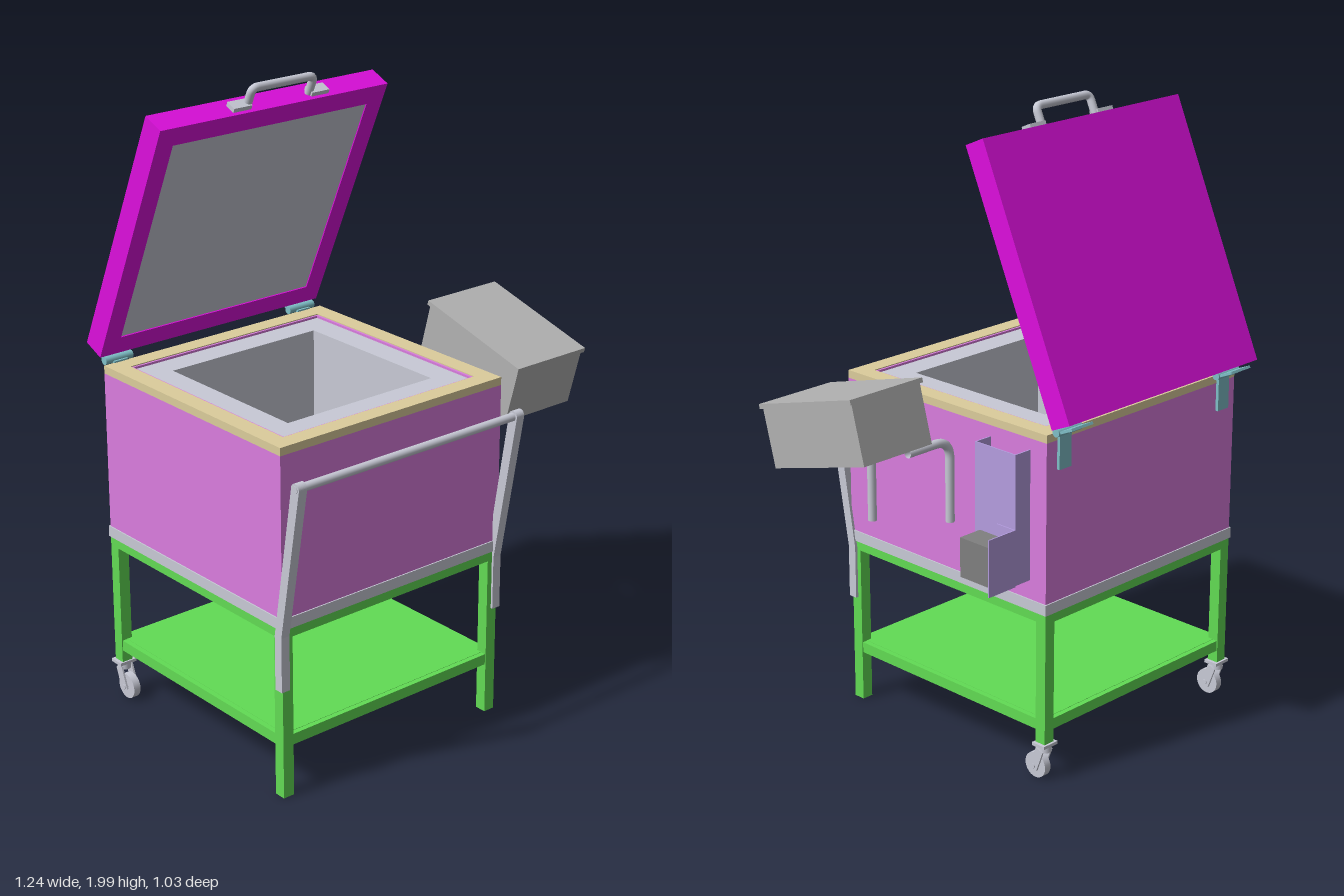
import * as THREE from 'three';

const mat = (color) => new THREE.MeshStandardMaterial({ color, side: THREE.DoubleSide });
const M = {
  pink: mat(0xda7ddf), magenta: mat(0xdd0fdd), green: mat(0x62dc54), tan: mat(0xdccd9c),
  steel: mat(0xc8cad6), violet: mat(0xb59de0), teal: mat(0x7fc0c8), grey: mat(0xb2b2b2), dark: mat(0x808080),
};
const CX = -0.189; // centre of the cabinet
const H = 0.423;   // half width of the cabinet

function add(parent, name, geo, material, x = 0, y = 0, z = 0) {
  const m = new THREE.Mesh(geo, material);
  m.name = name;
  m.position.set(x, y, z);
  parent.add(m);
  return m;
}

// box given by its limits
function block(parent, name, material, x0, x1, y0, y1, z0, z1) {
  return add(parent, name, new THREE.BoxGeometry(x1 - x0, y1 - y0, z1 - z0), material,
    (x0 + x1) / 2, (y0 + y1) / 2, (z0 + z1) / 2);
}

// flat rectangular ring in the xy plane, extruded along +z
function ring(ox, oy, ix, iy, depth) {
  const rect = (P, a, b) => {
    const p = new P();
    p.moveTo(-a, -b); p.lineTo(a, -b); p.lineTo(a, b); p.lineTo(-a, b); p.closePath();
    return p;
  };
  const s = rect(THREE.Shape, ox, oy);
  s.holes.push(rect(THREE.Path, ix, iy));
  return new THREE.ExtrudeGeometry(s, { depth, bevelEnabled: false });
}

// horizontal ring between two heights
function band(parent, name, material, outer, inner, y0, y1) {
  return add(parent, name, ring(outer, outer, inner, inner, y1 - y0).rotateX(-Math.PI / 2), material, CX, y0, 0);
}

// round tube with rounded corners through points
function pipe(points, radius, bend) {
  const v = points.map((p) => new THREE.Vector3(...p));
  const path = new THREE.CurvePath();
  let from = v[0];
  for (let i = 1; i < v.length - 1; i++) {
    const a = v[i].clone().add(v[i - 1].clone().sub(v[i]).setLength(bend));
    const b = v[i].clone().add(v[i + 1].clone().sub(v[i]).setLength(bend));
    path.add(new THREE.LineCurve3(from, a));
    path.add(new THREE.QuadraticBezierCurve3(a, v[i], b));
    from = b;
  }
  path.add(new THREE.LineCurve3(from, v[v.length - 1]));
  return new THREE.TubeGeometry(path, 60, radius, 14);
}

function caster(parent, x) {
  const g = new THREE.Group();
  g.name = 'caster';
  g.position.set(x, 0, -0.405);
  parent.add(g);
  block(g, 'casterPlate', M.steel, -0.03, 0.03, 0.115, 0.125, -0.025, 0.025);
  add(g, 'casterSwivel', new THREE.CylinderGeometry(0.02, 0.022, 0.02, 20), M.steel, 0, 0.105, 0);
  const wheel = new THREE.CylinderGeometry(0.041, 0.041, 0.024, 28).rotateZ(Math.PI / 2);
  add(g, 'casterWheel', wheel, M.steel, 0, 0.041, 0.027);
  add(g, 'casterAxle', new THREE.CylinderGeometry(0.008, 0.008, 0.05, 12).rotateZ(Math.PI / 2), M.steel, 0, 0.041, 0.027);
  for (const s of [-1, 1]) {
    const fork = block(g, 'casterFork', M.steel, s * 0.019 - 0.003, s * 0.019 + 0.003, 0.03, 0.105, 0, 0.03);
    fork.rotation.x = -0.35;
  }
}

function stand(root) {
  const g = new THREE.Group();
  g.name = 'stand';
  root.add(g);
  band(g, 'upperRails', M.green, H, H - 0.037, 0.52, 0.55);
  band(g, 'lowerRails', M.green, H - 0.003, H - 0.035, 0.165, 0.2);
  block(g, 'shelf', M.green, CX - H + 0.02, CX + H - 0.02, 0.19, 0.201, -H + 0.02, H - 0.02);
  for (const s of [-1, 1]) {
    const x = CX + s * (H - 0.019);
    block(g, 'frontLeg', M.green, x - 0.019, x + 0.019, 0, 0.53, 0.385, H);
    block(g, 'backLeg', M.green, x - 0.019, x + 0.019, 0.125, 0.53, -H, -0.385);
    caster(g, x);
  }
}

function cabinet(root) {
  const g = new THREE.Group();
  g.name = 'cabinet';
  root.add(g);
  band(g, 'baseTrim', M.steel, H + 0.004, H - 0.03, 0.55, 0.585);
  block(g, 'cabinetFloor', M.pink, CX - 0.41, CX + 0.41, 0.555, 0.6, -0.41, 0.41);
  band(g, 'cabinetWalls', M.pink, H, 0.368, 0.585, 1.09);
  band(g, 'topRim', M.tan, H, 0.366, 1.09, 1.115);
  band(g, 'innerLip', M.pink, 0.366, 0.359, 1.0, 1.112);
  band(g, 'liner', M.steel, 0.359, 0.275, 0.66, 1.105);
  block(g, 'linerFloor', M.steel, CX - 0.359, CX + 0.359, 0.6, 0.68, -0.359, 0.359);
}

function lid(root) {
  const g = new THREE.Group();
  g.name = 'lid';
  g.position.set(CX, 1.135, -0.442);
  g.rotation.x = 0.418;
  root.add(g);
  block(g, 'lidShell', M.magenta, -H, H, 0, 0.848, -0.075, -0.008);
  add(g, 'lidFrame', ring(H, 0.424, 0.362, 0.36, 0.008), M.magenta, 0, 0.424, -0.008);
  block(g, 'lidPanel', M.steel, -0.362, 0.362, 0.064, 0.784, -0.02, -0.004);
  // bow handle with two feet on the free edge
  const y = 0.848, z = -0.03, c = 0.022;
  add(g, 'lidHandle', pipe([[c - 0.115, y, z], [c - 0.115, y + 0.063, z], [c + 0.115, y + 0.063, z], [c + 0.115, y, z]], 0.013, 0.02), M.steel);
  for (const s of [-1, 1])
    block(g, 'handleFoot', M.steel, c + s * 0.145 - 0.033, c + s * 0.145 + 0.033, y, y + 0.014, z - 0.018, z + 0.018);
}

function hinges(root) {
  for (const x of [-0.55, 0.165]) {
    const g = new THREE.Group();
    g.name = 'hinge';
    g.position.x = x;
    root.add(g);
    add(g, 'hingeBarrel', new THREE.CylinderGeometry(0.013, 0.013, 0.1, 18).rotateZ(Math.PI / 2), M.teal, 0, 1.122, -0.44);
    block(g, 'hingeStrap', M.teal, -0.025, 0.025, 1.0, 1.12, -0.433, -0.42);
    const leaf = block(g, 'hingeLeaf', M.teal, -0.045, 0.045, 1.128, 1.136, -0.5, -0.44);
    leaf.rotation.x = 0.418;
  }
}

function pushHandle(root) {
  const side = new THREE.Shape();
  side.moveTo(0.43, 0.355);
  side.lineTo(0.43, 0.53);
  side.lineTo(0.515, 1.015);
  side.absarc(0.498, 1.017, 0.017, 0, Math.PI, false);
  side.lineTo(0.4, 0.53);
  side.lineTo(0.4, 0.355);
  const geo = new THREE.ExtrudeGeometry(side, { depth: 0.03, bevelEnabled: false })
    .translate(0, 0, -0.015).rotateY(-Math.PI / 2);
  for (const s of [-1, 1]) add(root, 'pushHandleArm', geo, M.steel, CX + s * 0.417, 0, 0);
  add(root, 'pushHandleBar', new THREE.CylinderGeometry(0.013, 0.013, 0.868, 20).rotateZ(Math.PI / 2), M.steel, CX, 1.015, 0.496);
}

function hopper(root) {
  const g = new THREE.Group();
  g.name = 'sideBox';
  g.position.set(0.477, 1.066, 0.164);
  g.rotation.x = 0.268;
  root.add(g);
  block(g, 'boxBody', M.grey, -0.135, 0.135, -0.1, 0.09, -0.205, 0.205);
  block(g, 'boxCover', M.grey, -0.143, 0.143, 0.085, 0.1, -0.211, 0.211);
  // bent tubes rising from the cabinet side to the box
  for (const [z, y0, y1] of [[0.31, 0.65, 0.913], [-0.038, 0.745, 1.008]])
    add(root, 'boxSupport', pipe([[0.248, y0, z], [0.248, y1, z], [0.42, y1, z]], 0.014, 0.06), M.steel);
}

function controls(root) {
  const g = new THREE.Group();
  g.name = 'controlBracket';
  root.add(g);
  // tall channel open at top and bottom
  block(g, 'channelFace', M.violet, 0.292, 0.296, 0.645, 1.055, -0.358, -0.193);
  for (const z of [-0.358, -0.197]) block(g, 'channelSide', M.violet, 0.234, 0.296, 0.645, 1.055, z, z + 0.004);
  // angle bracket carrying the small box
  block(g, 'bracketBase', M.violet, 0.3, 0.304, 0.645, 0.825, -0.362, -0.29);
  block(g, 'bracketPlate', M.violet, 0.3, 0.41, 0.645, 0.825, -0.364, -0.36);
  block(g, 'controlBox', M.dark, 0.318, 0.4, 0.67, 0.795, -0.36, -0.235);
}

export function createModel() {
  const root = new THREE.Group();
  root.name = 'chestOnCart';
  for (const build of [stand, cabinet, lid, hinges, pushHandle, hopper, controls]) build(root);
  return root;
}
